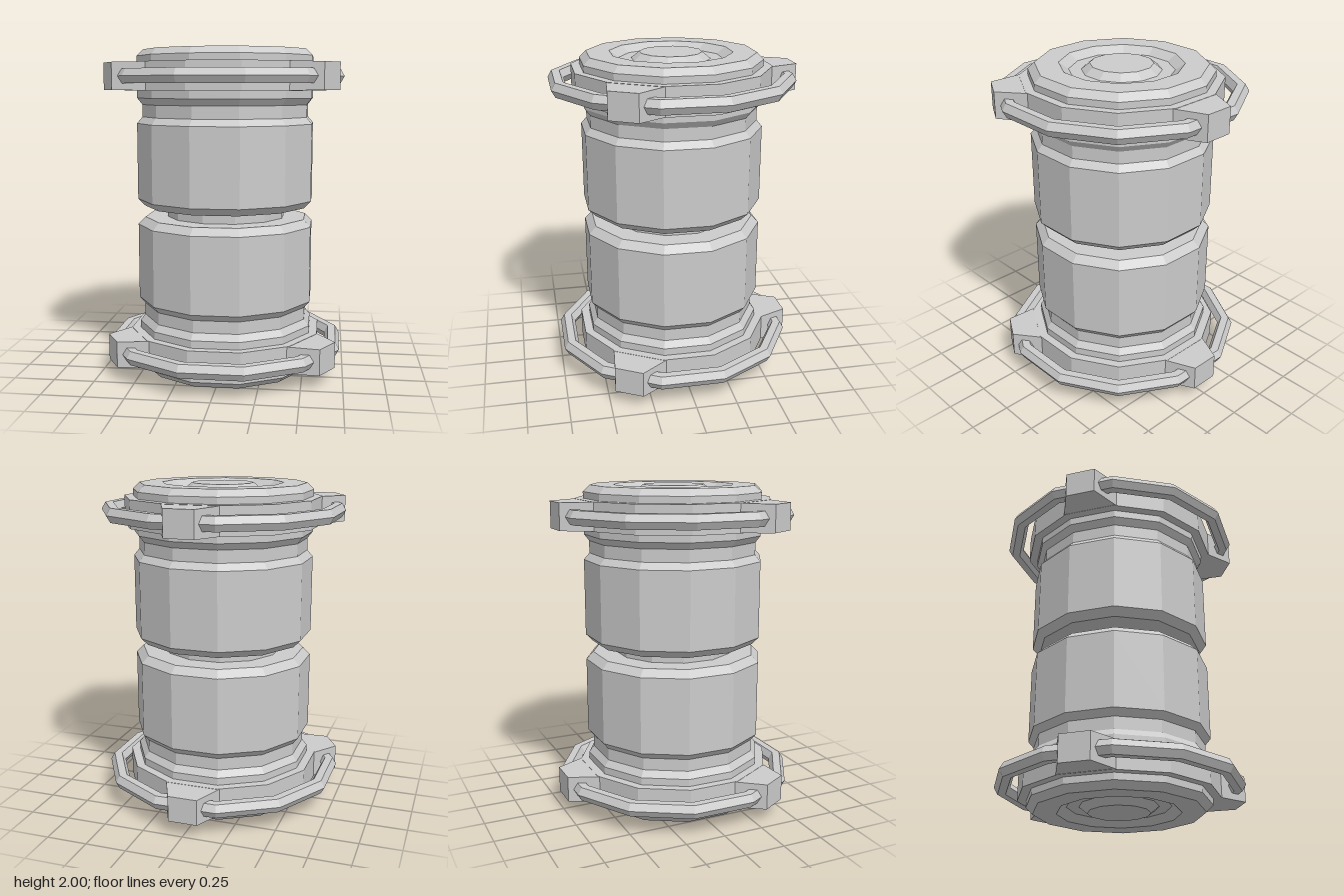
import * as THREE from 'three';

const SIDES = 12;
const STEP = Math.PI / SIDES;          // half the angle of one side
const toCorner = 1 / Math.cos(STEP);   // flat-to-flat radius -> corner radius

const material = new THREE.MeshStandardMaterial({ color: 0xcccccc, flatShading: true });

function part(name, geometry) {
  const mesh = new THREE.Mesh(geometry, material);
  mesh.name = name;
  return mesh;
}

// Twelve-sided turned body; profile runs bottom to top as [flat radius, y]
function turned(profile) {
  const points = profile.map(([r, y]) => new THREE.Vector2(r * toCorner, y));
  return new THREE.LatheGeometry(points, SIDES, STEP);
}

// Lug that narrows outwards along +z
function lugGeometry() {
  const inner = 0.45, outer = 0.757;
  const geometry = new THREE.BoxGeometry(2, 2, outer - inner);
  const pos = geometry.attributes.position;
  for (let i = 0; i < pos.count; i++) {
    const isOuter = pos.getZ(i) > 0;
    pos.setXYZ(i,
      pos.getX(i) * (isOuter ? 0.09 : 0.23),
      pos.getY(i) * (isOuter ? 0.08 : 0.086),
      isOuter ? outer : inner);
  }
  geometry.computeVertexNormals();
  return geometry;
}

// Carrying ring with its three lugs, centred on y = 0
function createHandle() {
  const handle = new THREE.Group();
  const ring = new THREE.TorusGeometry(0.679 * toCorner, 0.049, 6, SIDES);
  ring.rotateZ(STEP);
  ring.rotateX(Math.PI / 2);
  handle.add(part('handleRing', ring));
  for (let i = 0; i < 3; i++) {
    const lug = part('handleLug', lugGeometry());
    lug.rotation.y = Math.PI + i * Math.PI * 2 / 3;
    handle.add(lug);
  }
  return handle;
}

export function createModel() {
  const model = new THREE.Group();
  model.name = 'canister';

  // Upper half of the profile, from the waist to the middle of the recessed lid
  const upper = [
    [0.36, 1.0], [0.36, 1.035], [0.495, 1.035], [0.538, 1.08],   // waist and lower bevel
    [0.538, 1.55], [0.505, 1.59], [0.505, 1.665], [0.535, 1.705], // drum and groove
    [0.535, 1.75], [0.587, 1.75], [0.587, 1.92], [0.535, 1.92],   // flange
    [0.535, 1.96], [0.495, 2.0],                                  // lid edge
    [0.358, 2.0], [0.302, 1.96], [0.23, 1.96], [0.182, 2.0], [0, 2.0], // lid recess and button
  ];
  const lower = upper.slice(1).reverse().map(([r, y]) => [r, 2 - y]);
  model.add(part('body', turned([...lower, ...upper])));

  // Handles at both ends
  for (const [name, y] of [['upperHandle', 1.835], ['lowerHandle', 0.165]]) {
    const handle = createHandle();
    handle.name = name;
    handle.position.y = y;
    model.add(handle);
  }

  // The lug at the back reaches further than the ring at the front
  for (const child of model.children) child.position.z = 0.013;
  return model;
}
